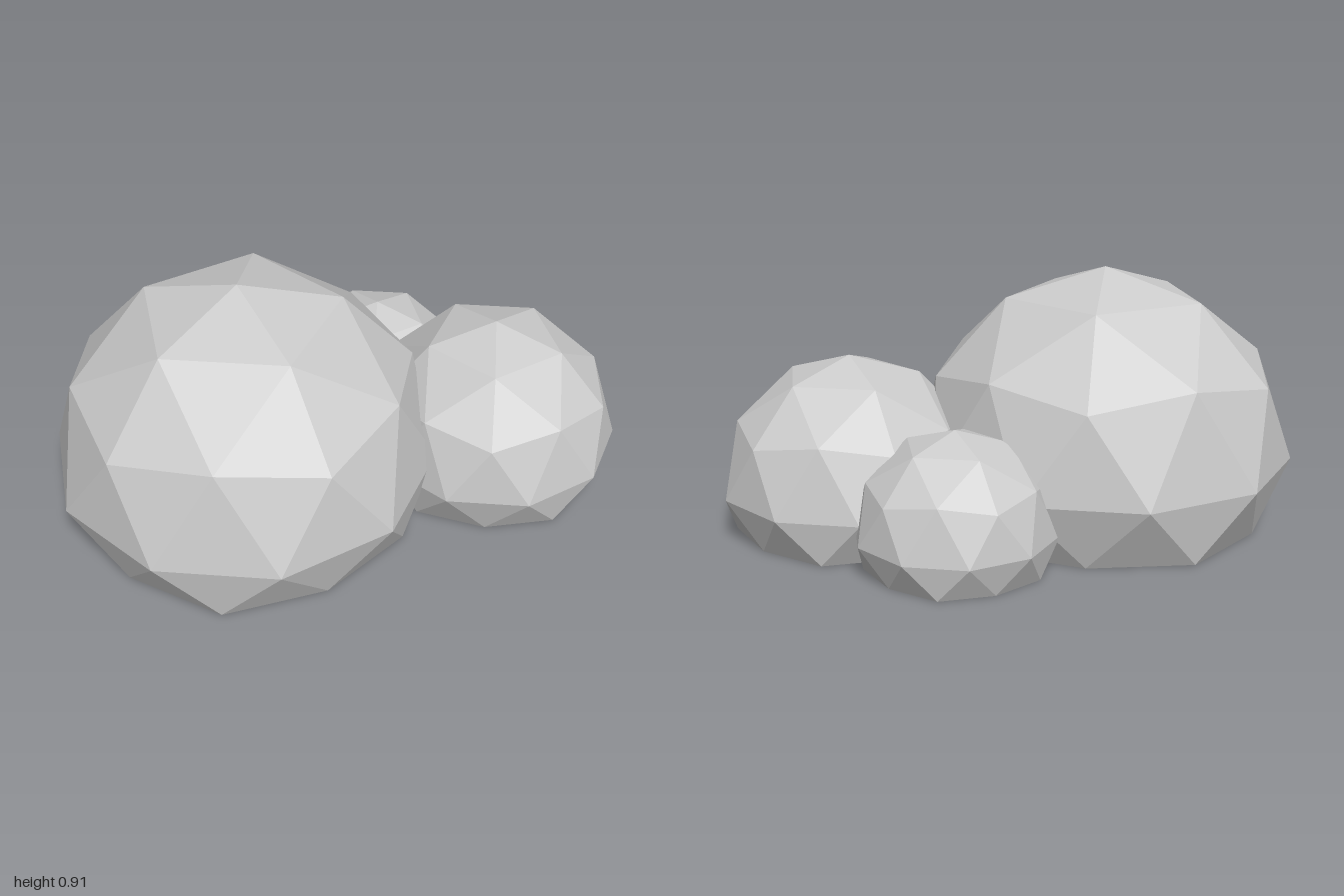
import * as THREE from 'three';

const material = new THREE.MeshStandardMaterial({
  color: 0xcccccc, flatShading: true, side: THREE.DoubleSide,
});

// Faceted dome: a pole-up icosphere flattened at the ground, open underneath
function domeGeometry(radius, height, turn) {
  const golden = (1 + Math.sqrt(5)) / 2;
  const sphere = new THREE.IcosahedronGeometry(radius, 1);
  sphere.rotateX(-Math.atan2(golden, 1)); // put a corner at the top
  sphere.rotateY(turn);
  sphere.translate(0, height, 0);

  const p = sphere.attributes.position;
  const kept = [];
  for (let i = 0; i < p.count; i += 3) {
    const ids = [i, i + 1, i + 2];
    if (ids.every((k) => p.getY(k) < 1e-4)) continue; // no floor faces
    for (const k of ids) kept.push(p.getX(k), Math.max(0, p.getY(k)), p.getZ(k));
  }
  const geometry = new THREE.BufferGeometry();
  geometry.setAttribute('position', new THREE.Float32BufferAttribute(kept, 3));
  geometry.computeVertexNormals();
  return geometry;
}

export function createModel() {
  const group = new THREE.Group();
  group.name = 'bushCluster';

  // Three overlapping clumps, each a scaled copy of the same dome
  const clumps = [
    { name: 'largeClump', radius: 0.68, height: 0.228, x: -0.353, z: 0.05, turn: Math.PI / 2 },
    { name: 'mediumClump', radius: 0.464, height: 0.157, x: 0.558, z: 0.052, turn: -Math.PI / 2 },
    { name: 'smallClump', radius: 0.346, height: 0.118, x: 0.24, z: -0.384, turn: -Math.PI / 2 },
  ];
  for (const c of clumps) {
    const mesh = new THREE.Mesh(domeGeometry(c.radius, c.height, c.turn), material);
    mesh.name = c.name;
    mesh.position.set(c.x, 0, c.z);
    group.add(mesh);
  }
  return group;
}
